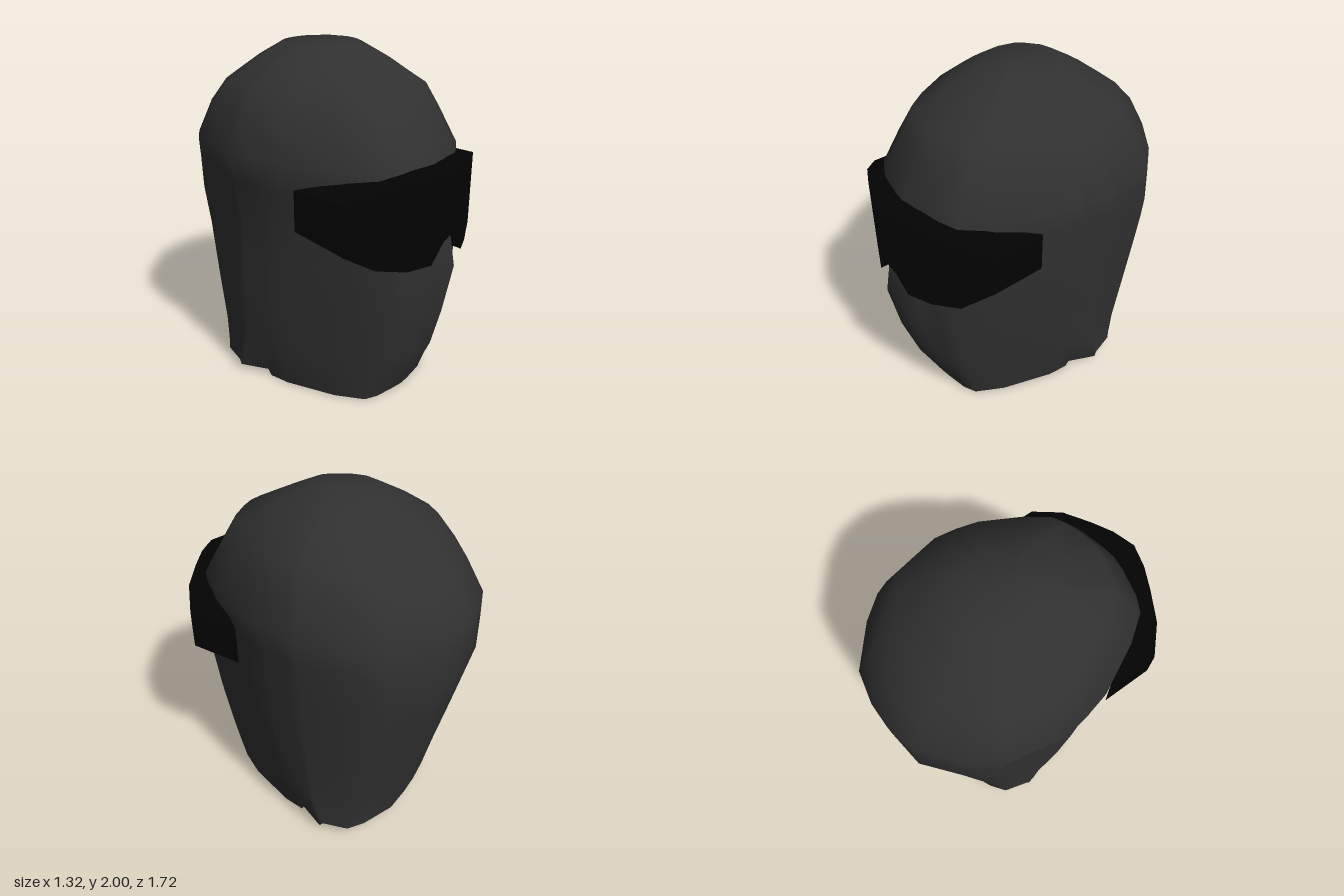
import * as THREE from 'three';
import { toCreasedNormals } from 'three/addons/utils/BufferGeometryUtils.js';

function makeGeometry(points, index) {
  const g = new THREE.BufferGeometry();
  g.setAttribute('position', new THREE.Float32BufferAttribute(points.flat(), 3));
  g.setIndex(index);
  return g;
}

// Half plan of the head from back to front: [side, depth], depth -1 back, +1 front
const PLAN = [
  [0, -1], [0.11, -1], [0.4, -0.94], [0.73, -0.68], [0.89, -0.49], [0.99, -0.06], [1, 0],
  [0.965, 0.195], [0.955, 0.22], [0.91, 0.37], [0.7, 0.7], [0.53, 0.885], [0.39, 0.94],
  [0.15, 0.985], [0, 1],
];

// Head rings: y, width at -x, width at +x, back z, widest z, front z, nose ridge,
// fullness of the back corners, fullness of the front corners
const RINGS = [
  [0, 0.56, 0.56, -0.6, -0.27, 0.555, 0, 0.04, 0.05],
  [0.12, 0.562, 0.566, -0.613, -0.24, 0.612, 0, 0.04, 0.01],
  [0.3, 0.565, 0.575, -0.655, -0.2, 0.7, 0, 0.045, -0.05],
  [0.6, 0.575, 0.595, -0.727, -0.18, 0.755, 0.045, 0.055, -0.04],
  [0.9, 0.585, 0.62, -0.798, -0.15, 0.765, 0.095, 0.06, -0.015],
  [1.1, 0.595, 0.63, -0.845, -0.15, 0.74, 0.08, 0.06, 0],
  [1.3, 0.63, 0.645, -0.852, -0.15, 0.72, 0.02, 0.03, 0],
  [1.46, 0.66, 0.66, -0.855, -0.15, 0.7, 0, 0, 0],
  [1.65, 0.58, 0.58, -0.74, -0.14, 0.59, 0, 0.02, 0],
  [1.78, 0.52, 0.52, -0.61, -0.12, 0.52, 0, 0.03, -0.02],
  [1.89, 0.37, 0.37, -0.46, -0.1, 0.31, 0, 0.02, 0],
  [1.98, 0.22, 0.22, -0.31, -0.1, 0.14, 0, 0, 0],
];

function headRing([y, wl, wr, zb, zc, zf, nose, backFull, frontFull]) {
  const jaw = 1 - 0.11 * Math.max(0, 1 - y / 0.3);
  const point = (u, v, w) => {
    const full = 1 + (v < 0 ? backFull : frontFull) * 4 * u * u * v * v;
    const z = zc + (v < 0 ? zc - zb : zf - zc) * v * full + (u === 0 && v > 0 ? nose : 0);
    // The lower rim steps up towards the back; the jaw narrows at the front
    const rimY = z > -0.1 ? 0.003 : z > -0.28 ? 0.04 : 0.065;
    return [u * w * full * (v > 0.1 ? jaw : 1), y > 0 ? y : rimY, z];
  };
  const right = PLAN.map(([u, v]) => point(u, v, wr));
  const left = PLAN.slice(1, -1).reverse().map(([u, v]) => point(-u, v, wl));
  return [...right, ...left];
}

// Hollow hood, open at the neck
function hoodGeometry() {
  const rings = RINGS.map(headRing);
  const n = rings[0].length;
  const points = rings.flat();
  const index = [];
  for (let i = 0; i < rings.length - 1; i++) {
    for (let j = 0; j < n; j++) {
      const a = i * n + j, b = i * n + ((j + 1) % n);
      index.push(a, a + n, b + n, a, b + n, b);
    }
  }
  // Crown
  const top = points.length, last = (rings.length - 1) * n;
  points.push([0, 2, 0]);
  for (let j = 0; j < n; j++) index.push(last + j, top, last + ((j + 1) % n));
  const geometry = makeGeometry(points, index);
  geometry.computeVertexNormals();
  return geometry;
}

// Goggle columns from the middle outwards: x, top y, bottom y, front z, back z
const COLUMNS = [
  [0, 1.435, 1.105, 0.85, 0.68],
  [0.07, 1.435, 1.05, 0.83, 0.67],
  [0.14, 1.433, 0.935, 0.81, 0.66],
  [0.27, 1.42, 0.925, 0.75, 0.62],
  [0.43, 1.39, 0.965, 0.67, 0.46],
  [0.57, 1.33, 1.1, 0.55, 0.24],
];

// Front, underside and top of the goggles; the side towards the face is open
function gogglesGeometry() {
  const mirrored = COLUMNS.slice(1).reverse().map(([x, ...rest]) => [-x, ...rest]);
  const columns = [...mirrored, ...COLUMNS];
  const points = columns.flatMap(([x, t, b, f, r]) => [[x, t, r], [x, t, f], [x, b, f], [x, b, r]]);
  const index = [];
  for (let i = 0; i < columns.length - 1; i++) {
    for (let k = 0; k < 3; k++) {
      const a = i * 4 + k, b = a + 1;
      index.push(a, b, b + 4, a, b + 4, a + 4);
    }
  }
  // Side ends
  const e = (columns.length - 1) * 4;
  index.push(0, 2, 1, 0, 3, 2, e, e + 1, e + 2, e, e + 2, e + 3);
  return toCreasedNormals(makeGeometry(points, index), 0.4);
}

export function createModel() {
  const group = new THREE.Group();
  const add = (name, geometry, color) => {
    const material = new THREE.MeshStandardMaterial({ color, side: THREE.DoubleSide });
    const mesh = new THREE.Mesh(geometry, material);
    mesh.name = name;
    group.add(mesh);
  };
  add('hood', hoodGeometry(), 0x313131);
  add('goggles', gogglesGeometry(), 0x030303);
  return group;
}
